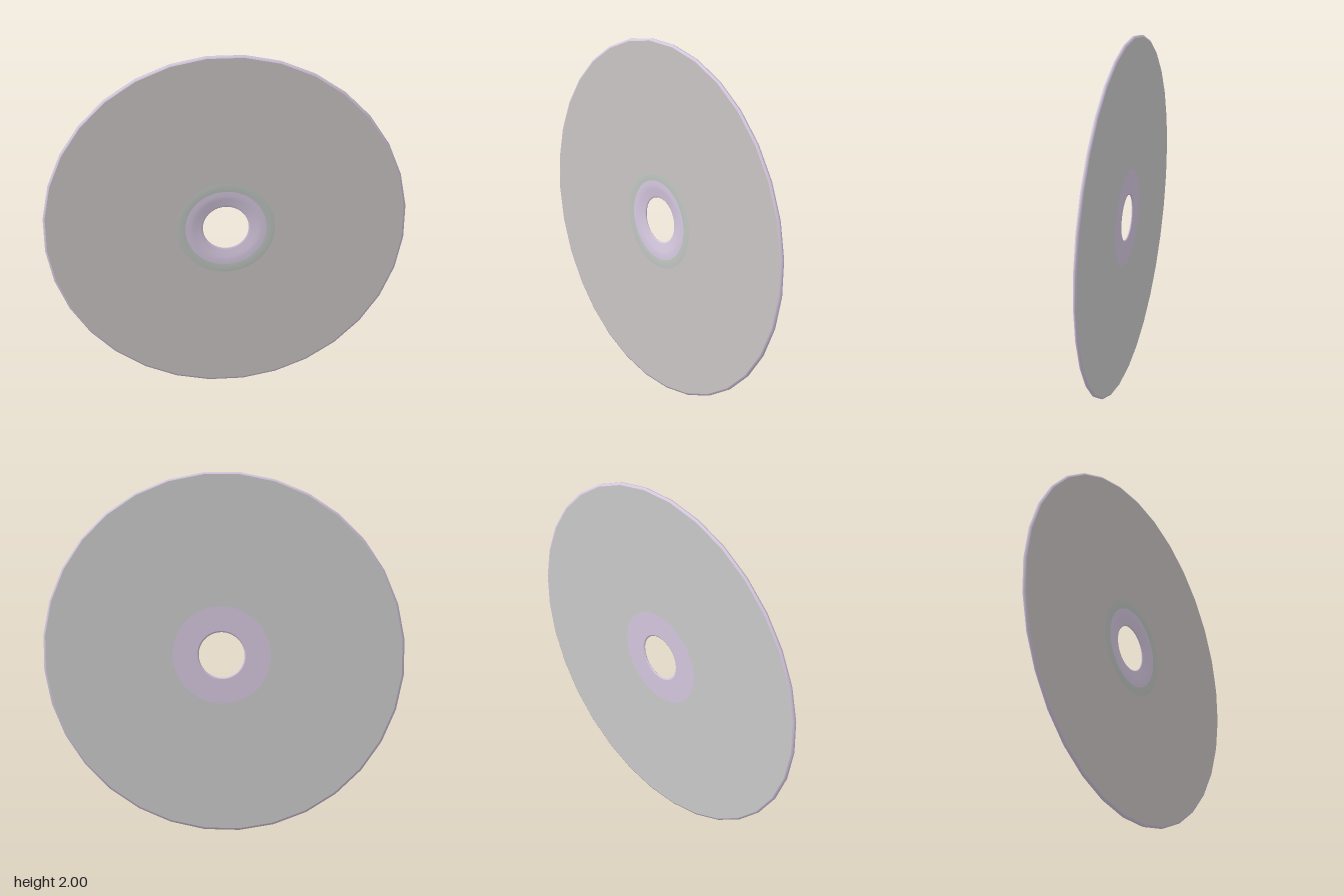
import * as THREE from 'three';

const HALF = 0.01;      // half the disc's thickness
const SIDES = 32;       // outer polygon
const HUB_SIDES = 64;
const HUB_R = 0.272;
const HOLE_R = 0.127;
const FACE_R = 0.992;   // where the flat face meets the rim bevel

const grey = new THREE.MeshStandardMaterial({ color: 0xcac4c4 });
const backGrey = new THREE.MeshStandardMaterial({ color: 0xcccccc });
const lilac = new THREE.MeshStandardMaterial({ color: 0xd6c9e0 });
const paleGreen = new THREE.MeshStandardMaterial({ color: 0xbfc5c1 });

// Points of a regular polygon, turned half a step
function ring(radius, sides) {
  return Array.from({ length: sides }, (_, i) => {
    const a = ((i + 0.5) / sides) * Math.PI * 2;
    return new THREE.Vector2(Math.cos(a) * radius, Math.sin(a) * radius);
  });
}

export function createModel() {
  const model = new THREE.Group();
  model.name = 'disc';

  function add(name, geometry, material) {
    const mesh = new THREE.Mesh(geometry, material);
    mesh.name = name;
    model.add(mesh);
    return mesh;
  }

  // Revolved band around z; profile pairs are [radius, z]
  function band(name, profile, sides, material) {
    const points = profile.map(([r, z]) => new THREE.Vector2(r, z));
    const geometry = new THREE.LatheGeometry(points, sides, Math.PI / sides);
    geometry.rotateX(Math.PI / 2);
    return add(name, geometry, material);
  }

  // Flat faces, with the hub cut out
  const shape = new THREE.Shape(ring(FACE_R, SIDES));
  shape.holes.push(new THREE.Path(ring(HUB_R, HUB_SIDES)));
  const face = new THREE.ShapeGeometry(shape);
  add('frontFace', face, grey).position.z = HALF;
  const back = add('backFace', face, backGrey);
  back.position.z = -HALF;
  back.rotation.y = Math.PI;

  // Slightly bevelled rim
  band('rim', [[FACE_R, -HALF], [1.003, -0.005], [1.003, 0.005], [FACE_R, HALF]], SIDES, lilac);

  // Hub: flat back, pale ring in front, dished collar running into the hole
  band('hubBack', [[0.135, -HALF], [HUB_R, -HALF]], HUB_SIDES, lilac);
  band('hubRing', [[HUB_R, HALF], [0.25, 0.0115], [0.225, HALF]], HUB_SIDES, paleGreen);
  band('hubCollar', [[0.225, HALF], [0.2, HALF], [0.18, 0.008], [0.155, 0.003], [0.14, 0.001], [0.13, -0.001],
    [HOLE_R, -0.004], [0.129, -0.008], [0.135, -HALF]], HUB_SIDES, lilac);

  // Stand upright with a slight backward lean
  model.rotation.set(-0.0185, 0.005, 0);
  model.position.y = 1;

  const root = new THREE.Group();
  root.name = 'leaningDisc';
  root.add(model);
  return root;
}
